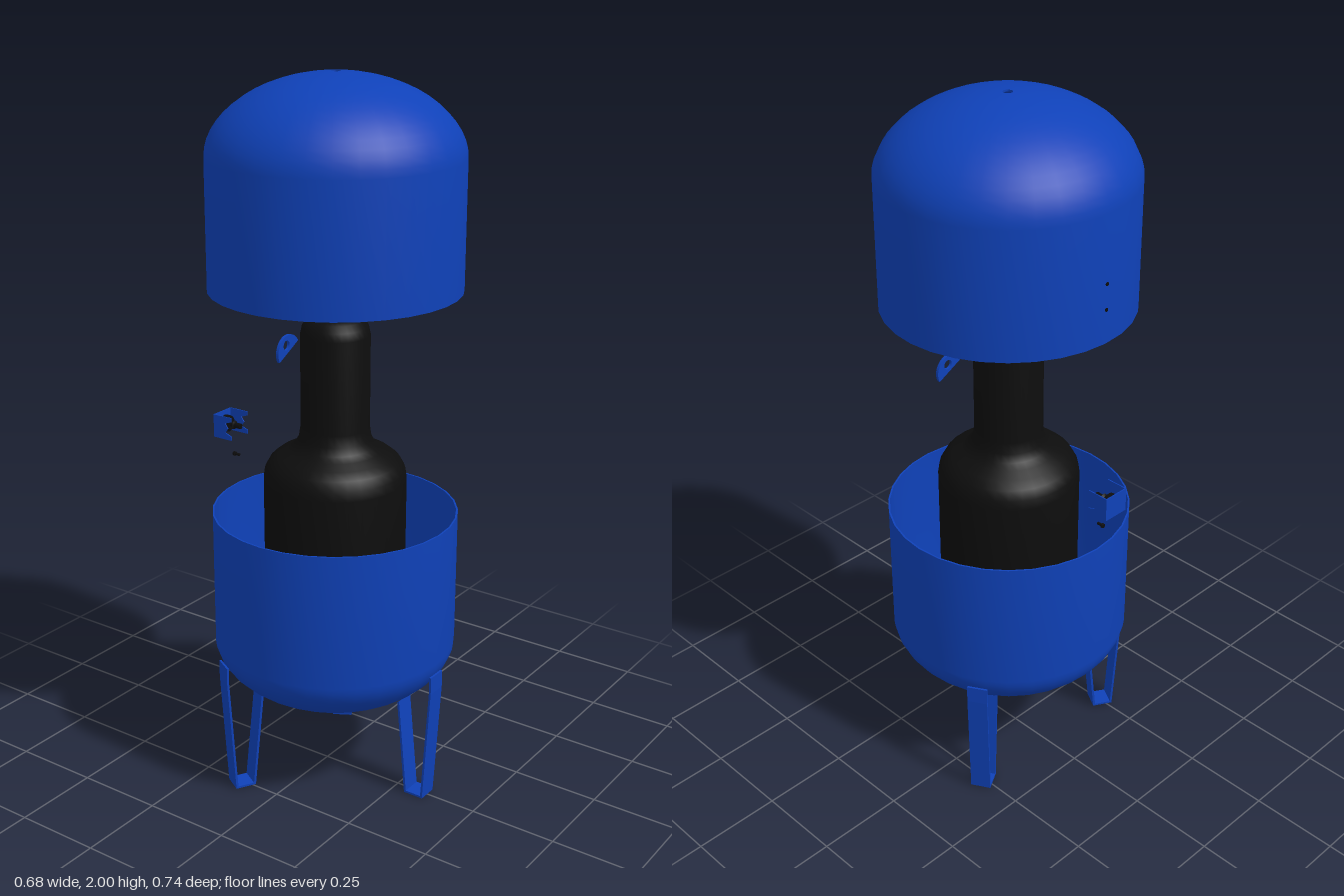
import * as THREE from 'three';
import { toCreasedNormals } from 'three/addons/utils/BufferGeometryUtils.js';

const mat = (color) => new THREE.MeshStandardMaterial({ color, side: THREE.DoubleSide });
const BLUE = mat(0x0f41b8), BLACK = mat(0x0d0d0d), DARK = mat(0x3a3a3e);
const R = 0.342, WALL = 0.005;

function add(parent, name, geometry, material, x = 0, y = 0, z = 0) {
  const mesh = new THREE.Mesh(geometry, material);
  mesh.name = name;
  mesh.position.set(x, y, z);
  parent.add(mesh);
  return mesh;
}

function lathe(points, segments = 32) {
  const g = new THREE.LatheGeometry(points.map(([r, y]) => new THREE.Vector2(r, y)), segments);
  return toCreasedNormals(g, 0.7);
}

// Dished end: knuckle blending into a shallow crown, from the rim inwards
function dish(r, height, hole, steps = 14) {
  const pts = [];
  for (let i = 0; i <= steps; i++) {
    const a = (i / steps) * Math.PI / 2;
    const c = Math.max(Math.cos(a), hole / r);
    pts.push([r * c, height * Math.pow(Math.sin(a), 1.06)]);
  }
  return pts;
}

// Open thin-walled shell: outer skin up to the crown, inner skin back down
function shell(straight, height, hole) {
  const outer = [[R, 0], ...dish(R, height, hole).map(([r, y]) => [r, y + straight])];
  const inner = [[R - WALL, 0], ...dish(R - WALL, height - WALL, hole).map(([r, y]) => [r, y + straight])];
  return lathe([...outer, ...inner.reverse(), [R, 0]]);
}

// Plate extruded from a shape and centred on its thickness
function plate(shape, depth) {
  const g = new THREE.ExtrudeGeometry(shape, { depth, bevelEnabled: false, curveSegments: 14 });
  return g.translate(0, 0, -depth / 2);
}

function polygon(points) {
  return new THREE.Shape(points.map(([x, y]) => new THREE.Vector2(x, y)));
}

export function createModel() {
  const model = new THREE.Group();
  model.name = 'explodedPressureTank';
  const tank = new THREE.Group();
  tank.name = 'tankAssembly';
  tank.position.z = 0.026;
  model.add(tank);

  // Upper and lower shells
  add(tank, 'upperShell', shell(0.35, 0.215, 0.013), BLUE, 0, 1.435, 0);
  const lower = add(tank, 'lowerShell', shell(0.385, 0.185, 0.085), BLUE, 0, 0.806, 0);
  lower.rotation.x = Math.PI;

  // Screw holes on the back of the upper shell
  for (const y of [1.53, 1.6]) {
    const hole = add(tank, 'screwHole', new THREE.CylinderGeometry(0.005, 0.005, 0.008, 12), BLACK, 0, y, -R + 0.002);
    hole.rotation.x = Math.PI / 2;
  }

  // Rubber bladder with narrow neck
  add(tank, 'bladder', lathe([
    [0.001, 0.24], [0.08, 0.24], [0.09, 0.26], [0.1, 0.3], [0.13, 0.325], [0.165, 0.345], [0.188, 0.375], [0.198, 0.42],
    [0.198, 0.9], [0.194, 0.927], [0.18, 0.952], [0.158, 0.97], [0.13, 0.983], [0.112, 0.997], [0.1, 1.018],
    [0.095, 1.05], [0.095, 1.31], [0.09, 1.333], [0.077, 1.35], [0.06, 1.357], [0.001, 1.358],
  ]), BLACK);
  add(tank, 'topStud', lathe([
    [0.008, 1.355], [0.008, 1.363], [0.016, 1.366], [0.016, 1.374], [0.009, 1.381], [0.001, 1.382],
  ], 16), DARK);

  // Bottom flange and connector
  add(tank, 'flange', lathe([
    [0.001, 0.223], [0.098, 0.223], [0.098, 0.231], [0.088, 0.234], [0.085, 0.246], [0.001, 0.246],
  ]), DARK);
  add(tank, 'connector', lathe([
    [0.001, 0.203], [0.014, 0.203], [0.021, 0.212], [0.021, 0.224], [0.001, 0.224],
  ], 16), DARK);

  // Three bent strap legs
  const strap = polygon([
    [0.337, 0.39], [0.337, 0.34], [0.316, 0], [0.256, 0], [0.228, 0.28],
    [0.234, 0.284], [0.262, 0.006], [0.31, 0.006], [0.331, 0.34], [0.331, 0.39],
  ].map(([r, y]) => [r + 0.007, y]));
  for (let i = 0; i < 3; i++) {
    const pivot = new THREE.Group();
    pivot.name = 'legPivot';
    pivot.rotation.y = -Math.PI / 2 + i * Math.PI * 2 / 3;
    add(pivot, 'leg', plate(strap, 0.058), BLUE);
    tank.add(pivot);
  }

  // Pair of half-round lifting lugs
  for (const side of [-1, 1]) {
    const half = new THREE.Shape();
    half.absarc(0, 0, 0.045, 0, Math.PI, false);
    half.closePath();
    const eye = new THREE.Path();
    eye.absarc(0, 0.021, 0.013, 0, Math.PI * 2, true);
    half.holes.push(eye);
    const lug = add(tank, 'liftingLug', plate(half, 0.008), BLUE, side * 0.213, 1.312, 0);
    lug.rotation.z = -side * 0.49;
  }

  // Valve guard: back plate and two notched cheeks
  const guard = new THREE.Group();
  guard.name = 'valveGuard';
  guard.position.set(0, 0.978, 0);
  add(guard, 'guardBack', new THREE.BoxGeometry(0.077, 0.068, 0.003), BLUE, 0, 0, -0.372);
  const cheek = polygon([
    [0.373, -0.034], [0.373, 0.034], [0.31, 0.034], [0.31, 0.022], [0.332, 0.014],
    [0.322, 0], [0.332, -0.014], [0.31, -0.022], [0.31, -0.034],
  ]);
  for (const side of [-1, 1]) {
    const c = add(guard, 'guardCheek', plate(cheek, 0.003), BLUE, side * 0.037, 0, 0);
    c.rotation.y = Math.PI / 2;
  }
  model.add(guard);

  // Air valve inside the guard, pointing backwards
  const valve = add(model, 'airValve', lathe([
    [0.001, 0.305], [0.008, 0.305], [0.008, 0.325], [0.013, 0.328], [0.007, 0.335], [0.007, 0.34],
    [0.018, 0.341], [0.018, 0.346], [0.024, 0.347], [0.024, 0.364], [0.001, 0.364],
  ], 16), BLACK, 0, 0.978, 0);
  valve.rotation.x = -Math.PI / 2;

  // Loose screw below the guard
  const screw = add(model, 'screw', lathe([
    [0.001, 0.312], [0.004, 0.312], [0.004, 0.326], [0.007, 0.327], [0.006, 0.333], [0.001, 0.334],
  ], 12), BLACK, 0, 0.89, 0);
  screw.rotation.x = -Math.PI / 2;

  return model;
}
